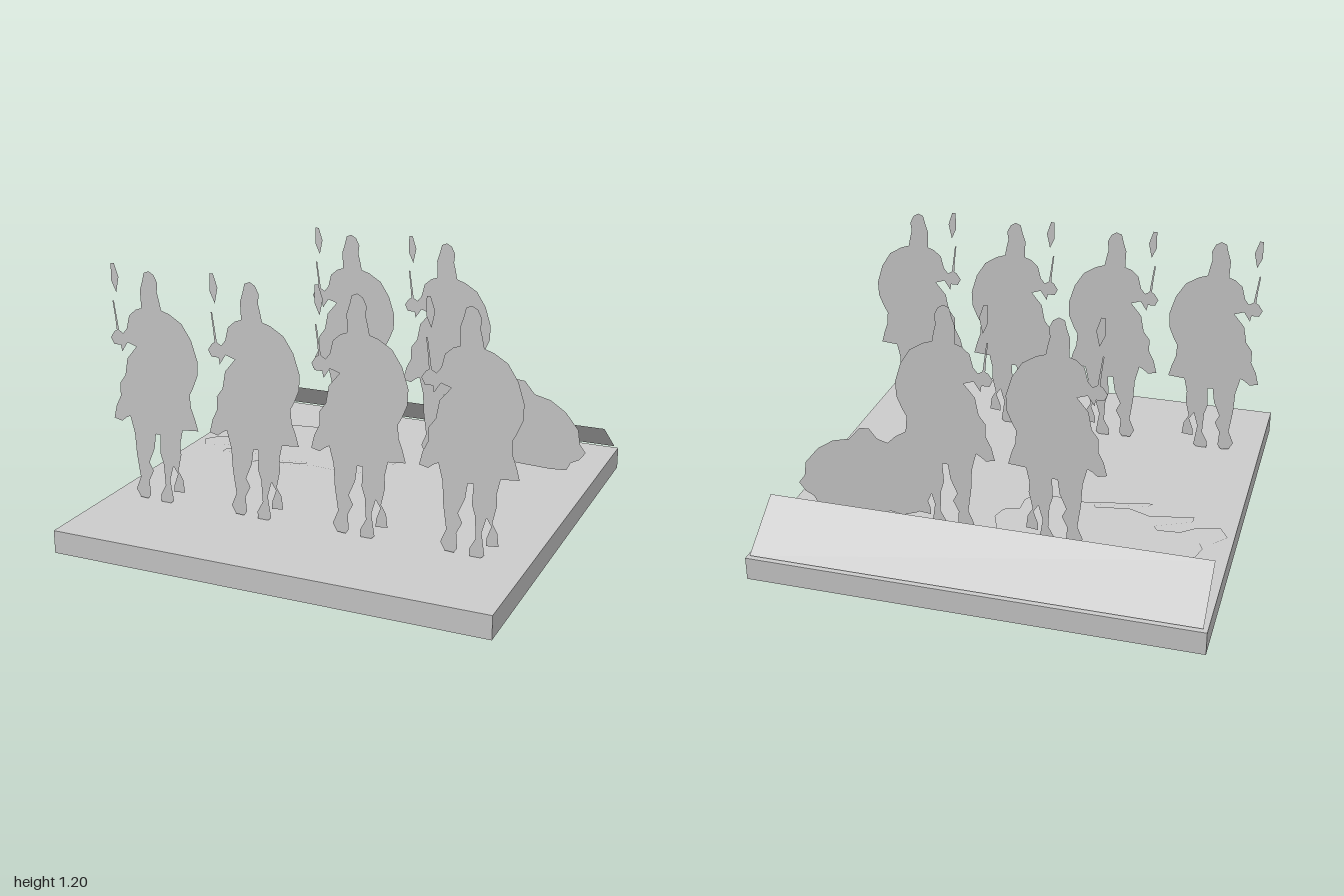
import * as THREE from 'three';

const stone = new THREE.MeshStandardMaterial({ color: 0xcccccc, side: THREE.DoubleSide });
stone.name = 'plain grey';

// Closed outline from [x, y] pairs
const outline = (pts, Type = THREE.Shape) => new Type(pts.map(([x, y]) => new THREE.Vector2(x, y)));

function part(name, geometry, x = 0, y = 0, z = 0) {
  const mesh = new THREE.Mesh(geometry, stone);
  mesh.name = name;
  mesh.position.set(x, y, z);
  return mesh;
}

// Mounted warrior seen head-on, x measured from the leftmost figure's place
const warrior = outline([
  // helmet and shield side
  [-.78, 1.17], [-.755, 1.18], [-.73, 1.165], [-.713, 1.13], [-.718, 1.09], [-.708, 1.05], [-.70, 1.01],
  [-.66, .997], [-.60, .96], [-.555, .89], [-.527, .80], [-.53, .73], [-.555, .67], [-.572, .64],
  [-.568, .58], [-.55, .53], [-.535, .475], [-.615, .468],
  // legs and hooves
  [-.63, .40], [-.627, .35], [-.645, .27], [-.622, .23], [-.615, .17], [-.67, .165], [-.668, .2],
  [-.648, .255], [-.67, .29], [-.69, .22], [-.675, .12], [-.69, .107], [-.74, .107], [-.742, .14],
  [-.715, .19], [-.72, .29], [-.735, .34], [-.73, .43], [-.755, .43], [-.765, .36], [-.795, .29],
  [-.775, .25], [-.80, .2], [-.795, .13], [-.81, .11], [-.85, .113], [-.87, .15], [-.845, .21],
  [-.86, .32], [-.865, .42], [-.885, .50],
  // skirt, spear arm and shoulder
  [-.905, .49], [-.93, .47], [-.97, .48], [-.955, .54], [-.93, .59], [-.93, .65], [-.90, .69],
  [-.885, .77], [-.835, .83], [-.88, .845], [-.91, .80], [-.915, .83], [-.95, .83], [-.965, .86],
  [-.945, .89], [-.925, .90], [-.90, .885], [-.88, .91], [-.865, .97], [-.83, 1.0], [-.80, 1.01],
  [-.803, 1.09], [-.79, 1.13],
]);
const spearHead = outline([[-.947, 1.2], [-.93, 1.2], [-.91, 1.14], [-.925, 1.07], [-.948, 1.12]]);
const spearShaft = outline([[-.947, 1.03], [-.94, 1.03], [-.93, .96], [-.92, .89], [-.932, .89], [-.938, .96]]);

// Fallen animal, standing cut-out
const carcass = outline([
  [.29, .40], [.34, .50], [.42, .565], [.47, .535], [.51, .495], [.56, .51], [.595, .555], [.64, .55],
  [.69, .49], [.77, .47], [.845, .42], [.91, .34], [.92, .27], [.95, .23], [.92, .19], [.88, .17],
  [.86, .13], [.78, .125], [.65, .13], [.54, .135], [.51, .15], [.45, .14], [.38, .165], [.34, .21], [.30, .30],
]);

// Animal lying flat on the ground, y runs to the back
const fallenBeast = outline([
  [-.46, .70], [-.40, .67], [-.25, .66], [-.15, .63], [-.05, .57], [.03, .48], [.07, .38], [.05, .31],
  [-.02, .28], [-.02, .2], [-.06, .14], [-.15, .135], [-.3, .15], [-.42, .12], [-.6, .08], [-.58, .11],
  [-.34, .16], [-.35, .18], [-.5, .15], [-.6, .19], [-.8, .15], [-.8, .19], [-.64, .27], [-.66, .3],
  [-.76, .29], [-.82, .24], [-.93, .21], [-.97, .28], [-.92, .34], [-.86, .36], [-.88, .4], [-.86, .47],
  [-.75, .58], [-.62, .65], [-.5, .67],
]);

export function createModel() {
  const model = new THREE.Group();
  model.name = 'diorama';

  // Square base slab
  model.add(part('base', new THREE.BoxGeometry(2, .105, 2), 0, .0525, 0));

  // Sloping board along the back edge
  const low = [-.99, .115], high = [-.75, .285];
  const dz = high[0] - low[0], dy = high[1] - low[1];
  const board = part('slopingBoard', new THREE.PlaneGeometry(1.965, Math.hypot(dz, dy)),
    0, (low[1] + high[1]) / 2, (low[0] + high[0]) / 2);
  board.rotation.set(-Math.PI / 2 - Math.atan2(dy, dz), 0, 0);
  model.add(board);

  // Warriors: a front rank of four and a back rank of two
  const riderGeometry = new THREE.ShapeGeometry([warrior, spearHead, spearShaft]);
  const step = .494;
  const ranks = [[.53, [0, 1, 2, 3]], [-.53, [1, 2]]];
  for (const [z, places] of ranks) {
    for (const i of places) model.add(part('mountedWarrior', riderGeometry, i * step, 0, z));
  }

  // Fallen animals
  model.add(part('standingCarcass', new THREE.ShapeGeometry(carcass), 0, 0, -.53));
  const flat = new THREE.ShapeGeometry(fallenBeast).rotateX(-Math.PI / 2);
  model.add(part('flatBeast', flat, 0, .109, 0));

  return model;
}
